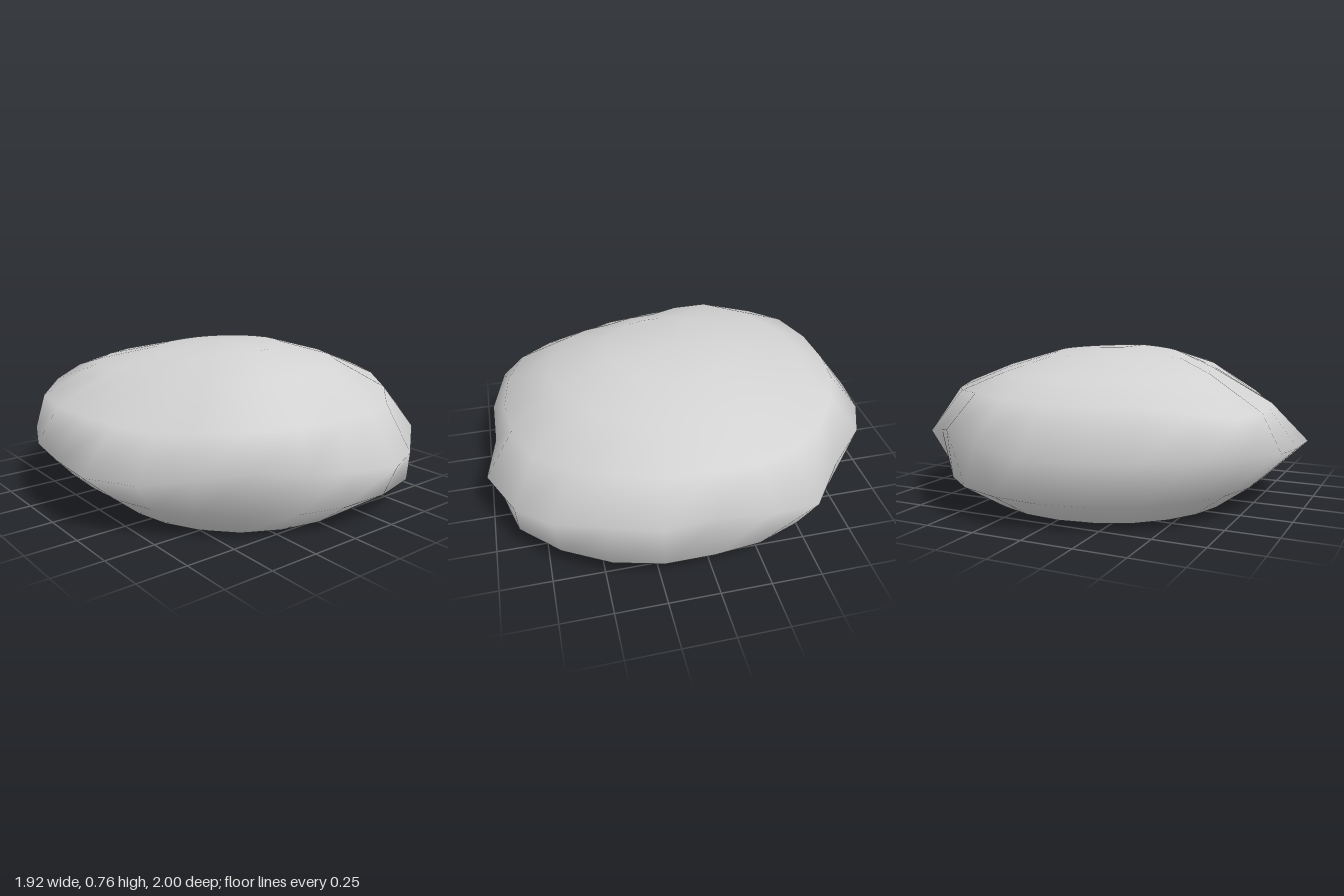
import * as THREE from 'three';
import { mergeVertices } from 'three/addons/utils/BufferGeometryUtils.js';

const COLUMNS = 24;

// Reads a closed list of values at column j, blending between its entries
function around(list, j) {
  if (typeof list === 'number') return list;
  const t = (j / COLUMNS) * list.length;
  const i = Math.floor(t);
  return THREE.MathUtils.lerp(list[i % list.length], list[(i + 1) % list.length], t - i);
}

// Rings from underside to top; entries run from +x round through +z
const rings = [
  // flat underside
  { r: 0, y: 0 },
  { r: [0.74, 0.8, 0.74, 0.61, 0.67, 0.69], y: 0 },
  // undercut flank
  { r: [0.88, 1.01, 0.86, 0.79, 0.86, 0.9], y: 0.13 },
  // widest, irregular rim
  { r: [0.94, 0.99, 0.99, 1.02, 1.02, 1.035, 0.945, 0.975, 1.0, 0.95, 0.94, 0.995,
      0.96, 0.97, 0.97, 0.955, 0.94, 0.965, 1.0, 0.99, 0.98, 0.94, 1.0, 0.96],
    y: [0.43, 0.4, 0.27, 0.3, 0.38, 0.28, 0.3, 0.33, 0.34, 0.35, 0.42, 0.33] },
  // shoulder
  { r: [0.82, 0.84, 0.89, 0.87, 0.87, 0.8, 0.81, 0.92, 0.87, 0.84, 0.83, 0.84],
    y: [0.59, 0.57, 0.51, 0.52, 0.52, 0.48, 0.49, 0.5, 0.57, 0.56, 0.58, 0.56] },
  // crown
  { r: [0.6, 0.6, 0.62, 0.63, 0.62, 0.5, 0.5, 0.65, 0.66, 0.68, 0.64, 0.6],
    y: [0.675, 0.68, 0.67, 0.66, 0.65, 0.645] },
  { r: 0.33, y: [0.75, 0.76, 0.725, 0.73] },
  { r: 0, y: 0.762 },
];

function rockGeometry() {
  const positions = [];
  const index = [];
  rings.forEach((ring, i) => {
    for (let j = 0; j < COLUMNS; j++) {
      const a = (j / COLUMNS) * Math.PI * 2;
      const r = around(ring.r, j);
      positions.push(r * Math.cos(a), around(ring.y, j), r * Math.sin(a));
      if (i === rings.length - 1) continue;
      const p = i * COLUMNS + j;
      const q = i * COLUMNS + ((j + 1) % COLUMNS);
      if (i > 0) index.push(p, p + COLUMNS, q);
      if (i < rings.length - 2) index.push(q, p + COLUMNS, q + COLUMNS);
    }
  });
  const geometry = new THREE.BufferGeometry();
  geometry.setAttribute('position', new THREE.Float32BufferAttribute(positions, 3));
  geometry.setIndex(index);
  // Join the pole points so the shading is smooth everywhere
  const merged = mergeVertices(geometry, 1e-5);
  merged.computeVertexNormals();
  return merged;
}

export function createModel() {
  const group = new THREE.Group();
  group.name = 'boulder';
  const stone = new THREE.MeshStandardMaterial({ color: 0xd2d2d2 });
  stone.name = 'pale stone grey';
  const rock = new THREE.Mesh(rockGeometry(), stone);
  rock.name = 'rock';
  group.add(rock);
  return group;
}
